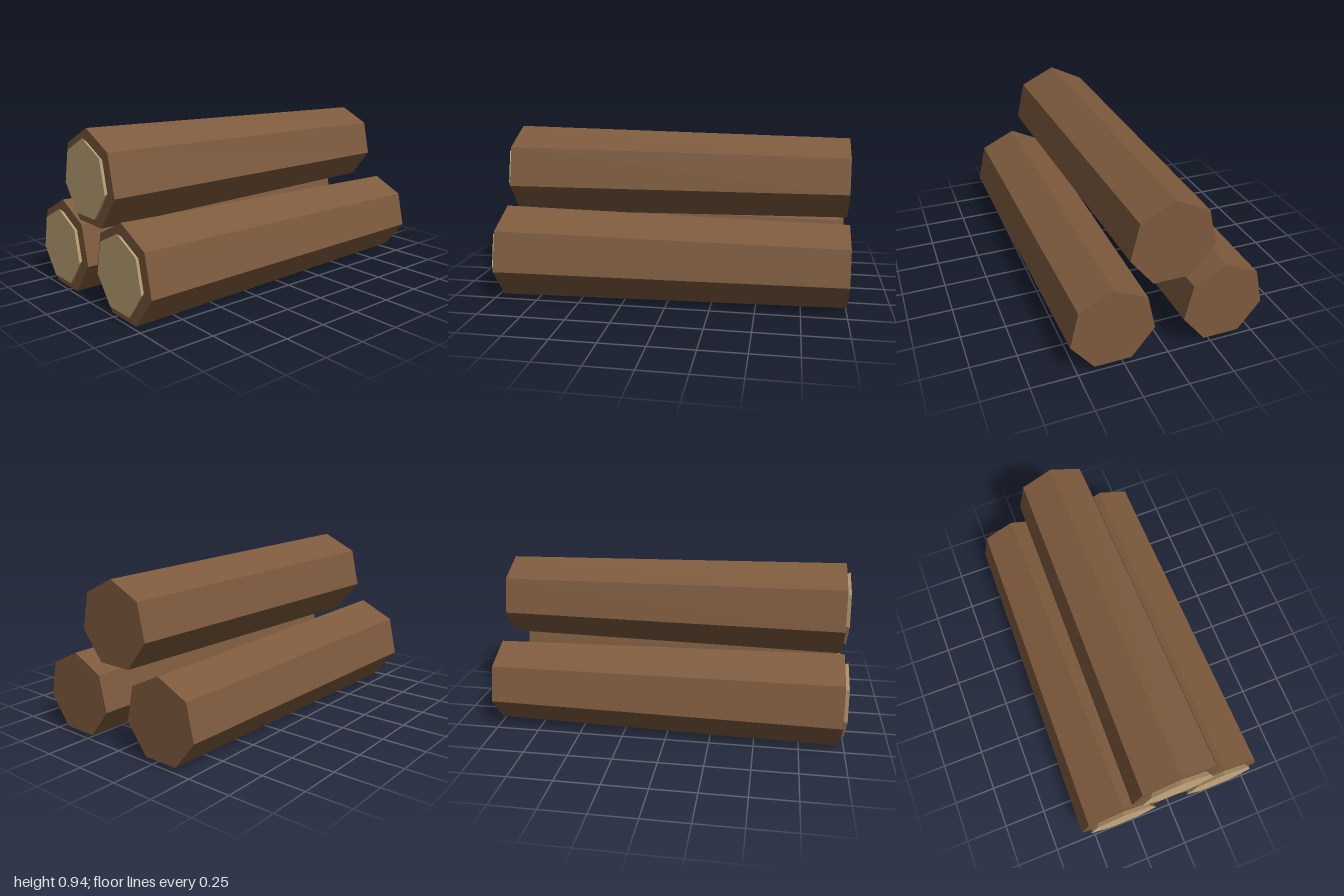
import * as THREE from 'three';

const SIDES = 7;

// Tapered seven-sided prism along z, one corner pointing up
function prism(frontRadius, backRadius, backZ, frontZ) {
  const g = new THREE.CylinderGeometry(frontRadius, backRadius, frontZ - backZ, SIDES, 1, false, Math.PI);
  g.rotateX(Math.PI / 2);
  g.translate(0, 0, (frontZ + backZ) / 2);
  // Separate faces for crisp flat normals
  const flat = g.toNonIndexed();
  flat.computeVertexNormals();
  return flat;
}

export function createModel() {
  const bark = new THREE.MeshStandardMaterial({ name: 'bark', color: 0x7d5a3d, flatShading: true });
  const cutWood = new THREE.MeshStandardMaterial({ name: 'cutWood', color: 0xc8aa7d, flatShading: true });

  const trunkGeometry = prism(0.267, 0.234, -1, 0.975);
  const cutGeometry = prism(0.216, 0.194, 0.97, 1);

  const model = new THREE.Group();
  model.name = 'logPile';

  // Two logs below, one resting above the gap
  const logs = [
    ['leftLog', 0.31, 0.241],
    ['rightLog', -0.31, 0.241],
    ['topLog', 0, 0.675],
  ];
  for (const [name, x, y] of logs) {
    const log = new THREE.Group();
    log.name = name;
    log.position.set(x, y, 0);

    const trunk = new THREE.Mesh(trunkGeometry, bark);
    trunk.name = 'trunk';
    const cutEnd = new THREE.Mesh(cutGeometry, cutWood);
    cutEnd.name = 'cutEnd';

    log.add(trunk, cutEnd);
    model.add(log);
  }
  return model;
}
